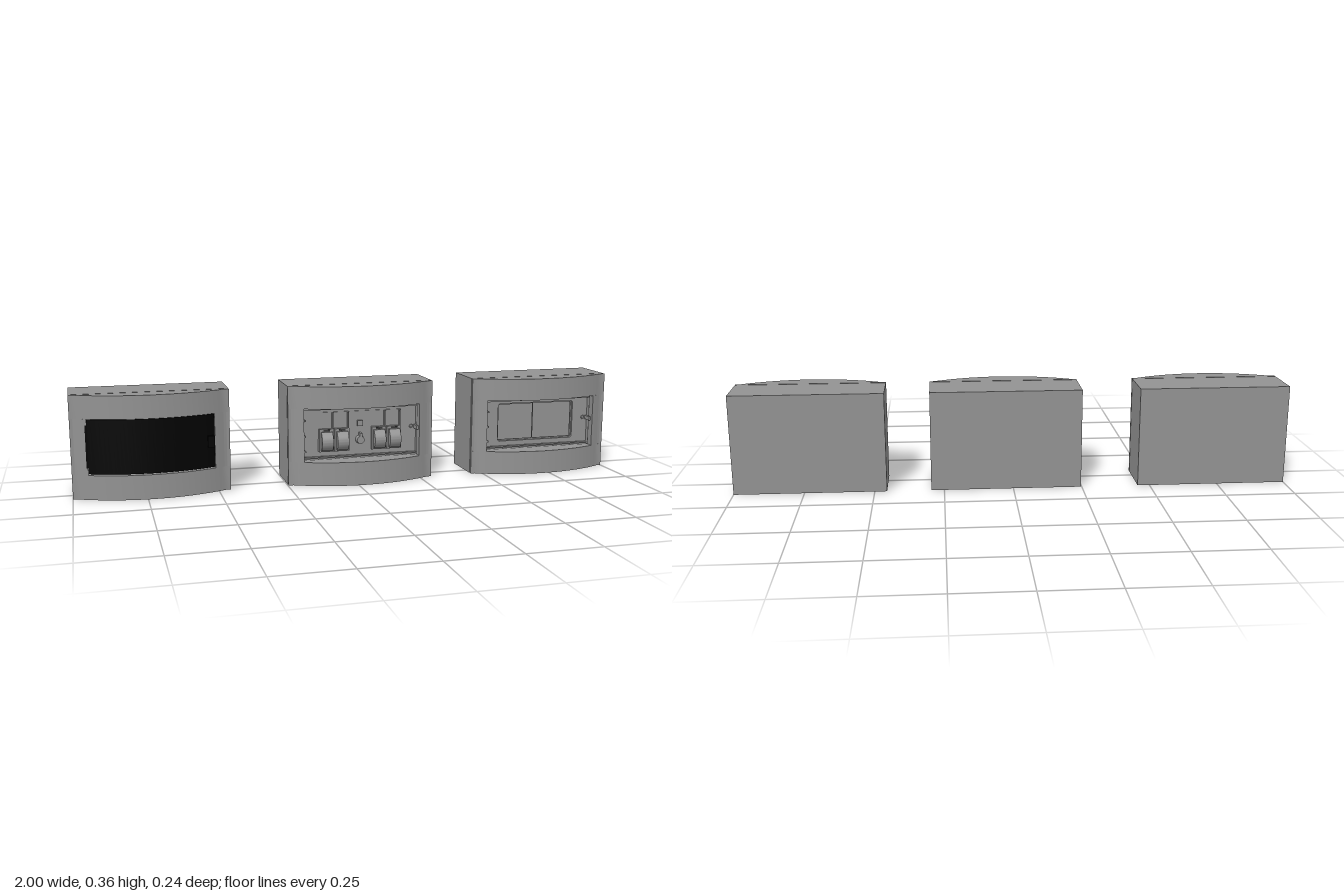
import * as THREE from 'three';
import { toCreasedNormals } from 'three/addons/utils/BufferGeometryUtils.js';

const W = 0.272, H = 0.362;                     // half width and height of a box
const OX = 0.217, OY0 = 0.086, OY1 = 0.281;     // window opening
const SEAM = 0.05, BACK = -0.12, PANEL = 0.03;  // depths along z
const material = (color) => new THREE.MeshStandardMaterial({ color, side: THREE.DoubleSide });
const grey = material(0x939393);
const dark = material(0x3a3a3a);
const black = material(0x020202);

// Depth of the bowed front at a given x, ending in a narrow flat rim
const R = 0.555;
const bow = (x) => Math.max(0.057, 0.12 - R + Math.sqrt(R * R - x * x));

function add(parent, name, geometry, mat = grey) {
  const mesh = new THREE.Mesh(geometry, mat);
  mesh.name = name;
  parent.add(mesh);
  return mesh;
}

function box(parent, name, x0, x1, y0, y1, z0, z1, mat) {
  const g = new THREE.BoxGeometry(x1 - x0, y1 - y0, z1 - z0);
  g.translate((x0 + x1) / 2, (y0 + y1) / 2, (z0 + z1) / 2);
  return add(parent, name, g, mat);
}

// Slab between a back depth and the bowed front, extruded upwards
function bowed(parent, name, x0, x1, y0, y1, back, mat) {
  const n = 32, pts = [];
  for (let i = 0; i <= n; i++) {
    const x = x0 + (x1 - x0) * i / n;
    pts.push(new THREE.Vector2(x, -bow(x)));
  }
  for (let i = n; i >= 0; i--) {
    const x = x0 + (x1 - x0) * i / n;
    pts.push(new THREE.Vector2(x, -back(x)));
  }
  const g = new THREE.ExtrudeGeometry(new THREE.Shape(pts), { depth: y1 - y0, bevelEnabled: false });
  g.rotateX(-Math.PI / 2).translate(0, y0, 0);
  return add(parent, name, toCreasedNormals(g, 0.6), mat);
}

function rectPath(PathType, x0, x1, y0, y1, r = 0) {
  const p = new PathType();
  if (!r) {
    p.moveTo(x0, y0).lineTo(x1, y0).lineTo(x1, y1).lineTo(x0, y1).closePath();
    return p;
  }
  p.absarc(x1 - r, y0 + r, r, -Math.PI / 2, 0);
  p.absarc(x1 - r, y1 - r, r, 0, Math.PI / 2);
  p.absarc(x0 + r, y1 - r, r, Math.PI / 2, Math.PI);
  p.absarc(x0 + r, y0 + r, r, Math.PI, Math.PI * 1.5);
  p.closePath();
  return p;
}

// Flat rectangular ring facing the front
function frame(parent, name, outer, inner, z0, z1, { r = 0, mat = grey } = {}) {
  const s = rectPath(THREE.Shape, ...outer);
  s.holes.push(rectPath(THREE.Path, ...inner, r));
  const g = new THREE.ExtrudeGeometry(s, { depth: z1 - z0, bevelEnabled: false, curveSegments: 5 });
  g.translate(0, 0, z0);
  return add(parent, name, g, mat);
}

function enclosure(name, x) {
  const g = new THREE.Group();
  g.name = name;
  g.position.x = x;
  const opening = [-OX, OX, OY0, OY1];
  // Thin-walled rear housing and the dark groove in front of it
  box(g, 'backPlate', -W, W, 0, H, BACK, BACK + 0.005);
  frame(g, 'housing', [-W, W, 0, H], [-W + 0.006, W - 0.006, 0.006, H - 0.006], BACK + 0.005, 0.045);
  frame(g, 'seam', [-W + 0.002, W - 0.002, 0.002, H - 0.002], opening, 0.045, SEAM, { mat: dark });
  frame(g, 'collar', [-OX - 0.004, OX + 0.004, OY0 - 0.004, OY1 + 0.004], opening, PANEL - 0.008, 0.045);
  // Bowed front cover around the opening
  const flat = () => SEAM;
  bowed(g, 'coverBottom', -W, W, 0, OY0, flat);
  bowed(g, 'coverTop', -W, W, OY1, H, flat);
  bowed(g, 'coverLeft', OX, W, OY0, OY1, flat);
  bowed(g, 'coverRight', -W, -OX, OY0, OY1, flat);
  return g;
}

// Recessed panel with window, rails, hinge lugs and latch
function innerPanel(g) {
  frame(g, 'innerPanel', [-OX, OX, OY0, OY1], [-0.155, 0.155, 0.113, 0.258], PANEL - 0.008, PANEL, { r: 0.01 });
  frame(g, 'windowLedge', [-0.165, 0.165, 0.105, 0.266], [-0.15, 0.15, 0.118, 0.253],
    PANEL - 0.014, PANEL - 0.008);
  box(g, 'topRail', -OX, OX, 0.268, 0.276, PANEL, PANEL + 0.012);
  box(g, 'bottomRail', -OX, OX, 0.09, 0.095, PANEL, PANEL + 0.008);
  for (const y of [0.125, 0.18, 0.237]) {
    box(g, 'hingeLug', -OX, -OX + 0.006, y - 0.003, y + 0.003, 0.055, 0.079);
  }
  const latch = add(g, 'latchRing', new THREE.TorusGeometry(0.006, 0.002, 6, 16));
  latch.position.set(0.2, 0.19, PANEL + 0.001);
  box(g, 'latchPlate', 0.209, OX, 0.183, 0.197, PANEL, 0.065);
}

// Switch with stepped face and a curved rocker
function breaker(g, x) {
  const b = new THREE.Group();
  b.name = 'breaker';
  b.position.x = x;
  g.add(b);
  box(b, 'breakerBody', -0.028, 0.028, 0.113, 0.258, -0.05, 0.034);
  box(b, 'breakerNose', -0.027, 0.027, 0.114, 0.198, 0.034, 0.048);
  const s = new THREE.Shape();
  s.moveTo(-0.045, 0.118).lineTo(-0.058, 0.12);
  s.quadraticCurveTo(-0.086, 0.15, -0.062, 0.178);
  s.lineTo(-0.056, 0.188).lineTo(-0.045, 0.188).closePath();
  const rocker = new THREE.ExtrudeGeometry(s, { depth: 0.042, bevelEnabled: false });
  rocker.rotateY(Math.PI / 2).translate(-0.021, 0, 0);
  add(b, 'rocker', toCreasedNormals(rocker, 0.5));
  box(b, 'rockerSlot', -0.012, 0.012, 0.19, 0.196, 0.048, 0.05, dark);
  box(b, 'upperRib', 0.022, 0.027, 0.198, 0.257, 0.034, 0.046);
}

export function createModel() {
  const model = new THREE.Group();
  model.name = 'distributionBoxes';

  // Box with a closed dark door
  const closed = enclosure('closedBox', -0.728);
  box(closed, 'innerPanel', -OX, OX, OY0, OY1, PANEL - 0.008, PANEL);
  bowed(closed, 'door', -OX + 0.001, OX - 0.001, 0.091, 0.28, (x) => bow(x) - 0.006, black);
  box(closed, 'doorHandle', 0.19, 0.214, 0.165, 0.205, 0.074, 0.097, black);
  box(closed, 'doorHinge', -0.222, -0.215, 0.112, 0.26, 0.07, 0.077, black);
  model.add(closed);

  // Box with switches fitted
  const fitted = enclosure('fittedBox', 0.025);
  innerPanel(fitted);
  for (const x of [-0.128, -0.07, 0.07, 0.128]) breaker(fitted, x);
  box(fitted, 'centreModule', -0.041, 0.041, 0.113, 0.258, -0.05, 0.034);
  box(fitted, 'testButton', -0.01, 0.01, 0.203, 0.223, 0.034, 0.044);
  const knob = add(fitted, 'knob', new THREE.CylinderGeometry(0.014, 0.016, 0.018, 20).rotateX(Math.PI / 2));
  knob.position.set(0, 0.152, 0.043);
  box(fitted, 'knobPointer', -0.004, 0.004, 0.152, 0.178, 0.034, 0.056);
  model.add(fitted);

  // Box with an empty window and a slim upright behind it
  const empty = enclosure('emptyBox', 0.728);
  innerPanel(empty);
  box(empty, 'upright', -0.0015, 0.0015, 0.105, 0.266, 0, 0.004);
  model.add(empty);

  return model;
}
